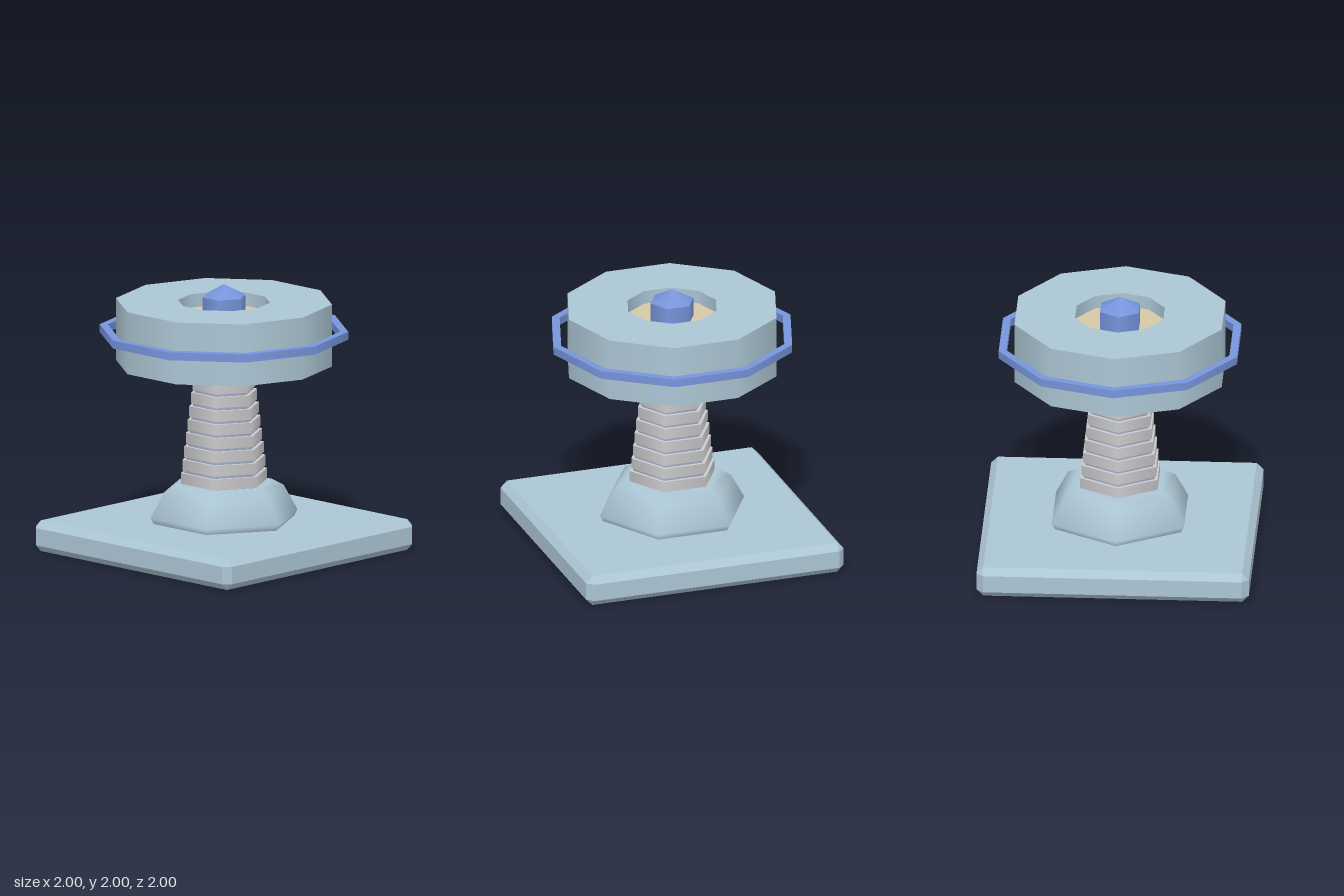
import * as THREE from 'three';
import { mergeGeometries } from 'three/addons/utils/BufferGeometryUtils.js';
import { ConvexGeometry } from 'three/addons/geometries/ConvexGeometry.js';

const mat = (name, color) => new THREE.MeshStandardMaterial({ name, color });

// Lathe around y with its corners on the x axis; points run bottom to top on the outside
function lathe(points, sides) {
  const geo = new THREE.LatheGeometry(points.map(([x, y]) => new THREE.Vector2(x, y)), sides);
  return geo.rotateY(Math.PI / 2);
}

// Lathe with hard edges between the steps of the profile
function steppedLathe(points, sides) {
  return mergeGeometries(points.slice(1).map((p, i) => lathe([points[i], p], sides)));
}

// Tapered prism standing between two heights
function prism(rBottom, rTop, y0, y1, sides) {
  return new THREE.CylinderGeometry(rTop, rBottom, y1 - y0, sides)
    .rotateY(Math.PI / 2).translate(0, (y0 + y1) / 2, 0);
}

// Ring of rectangular section
function ring(rOut, rIn, y0, y1, sides) {
  return steppedLathe([[rOut, y0], [rOut, y1], [rIn, y1], [rIn, y0], [rOut, y0]], sides);
}

// Box with every edge chamfered, bottom on y = 0
function chamferedBox(hx, height, hz, c) {
  const hy = height / 2, pts = [];
  for (const sx of [-1, 1]) for (const sy of [-1, 1]) for (const sz of [-1, 1]) {
    pts.push(new THREE.Vector3(sx * hx, sy * (hy - c) + hy, sz * (hz - c)));
    pts.push(new THREE.Vector3(sx * (hx - c), sy * hy + hy, sz * (hz - c)));
    pts.push(new THREE.Vector3(sx * (hx - c), sy * (hy - c) + hy, sz * hz));
  }
  return new ConvexGeometry(pts);
}

export function createModel() {
  const model = new THREE.Group();
  model.name = 'pedestalWheel';
  const paleBlue = mat('paleBlue', 0xacc6d4);
  const blue = mat('blue', 0x7795dc);
  const grey = mat('lightGrey', 0xcacacc);
  const core = mat('blueGrey', 0x9da7c0);
  const tan = mat('tan', 0xd6c8a4);

  const add = (name, geometry, material, parent = model) => {
    const mesh = new THREE.Mesh(geometry, material);
    mesh.name = name;
    parent.add(mesh);
  };

  // Base plate and collar
  add('basePlate', chamferedBox(1, 0.23, 1, 0.05), paleBlue);
  add('collar', lathe([[0.53, 0.22], [0.56, 0.275], [0.455, 0.465], [0.365, 0.515], [0, 0.515]], 6), paleBlue);

  // Tapered post: thin core with stacked plates
  add('postCore', prism(0.314, 0.184, 0.5, 1.52, 6), core);
  const plates = new THREE.Group();
  plates.name = 'postPlates';
  model.add(plates);
  for (let i = 0; i < 9; i++) {
    const r = 0.329 - i * 0.0128, y = 0.52 + i * 0.1;
    add('postPlate', prism(r, r, y, y + 0.08, 6), grey, plates);
  }

  // Wheel with recessed hub and floating outer ring
  add('wheel', ring(0.8, 0.34, 1.405, 1.87, 10), paleBlue);
  add('hub', prism(0.34, 0.34, 1.51, 1.77, 10), tan);
  add('outerRing', ring(0.92, 0.86, 1.61, 1.67, 10), blue);

  // Pointed cap on the hub
  add('cap', steppedLathe([[0.165, 1.76], [0.165, 1.91], [0, 2]], 6), blue);

  return model;
}
